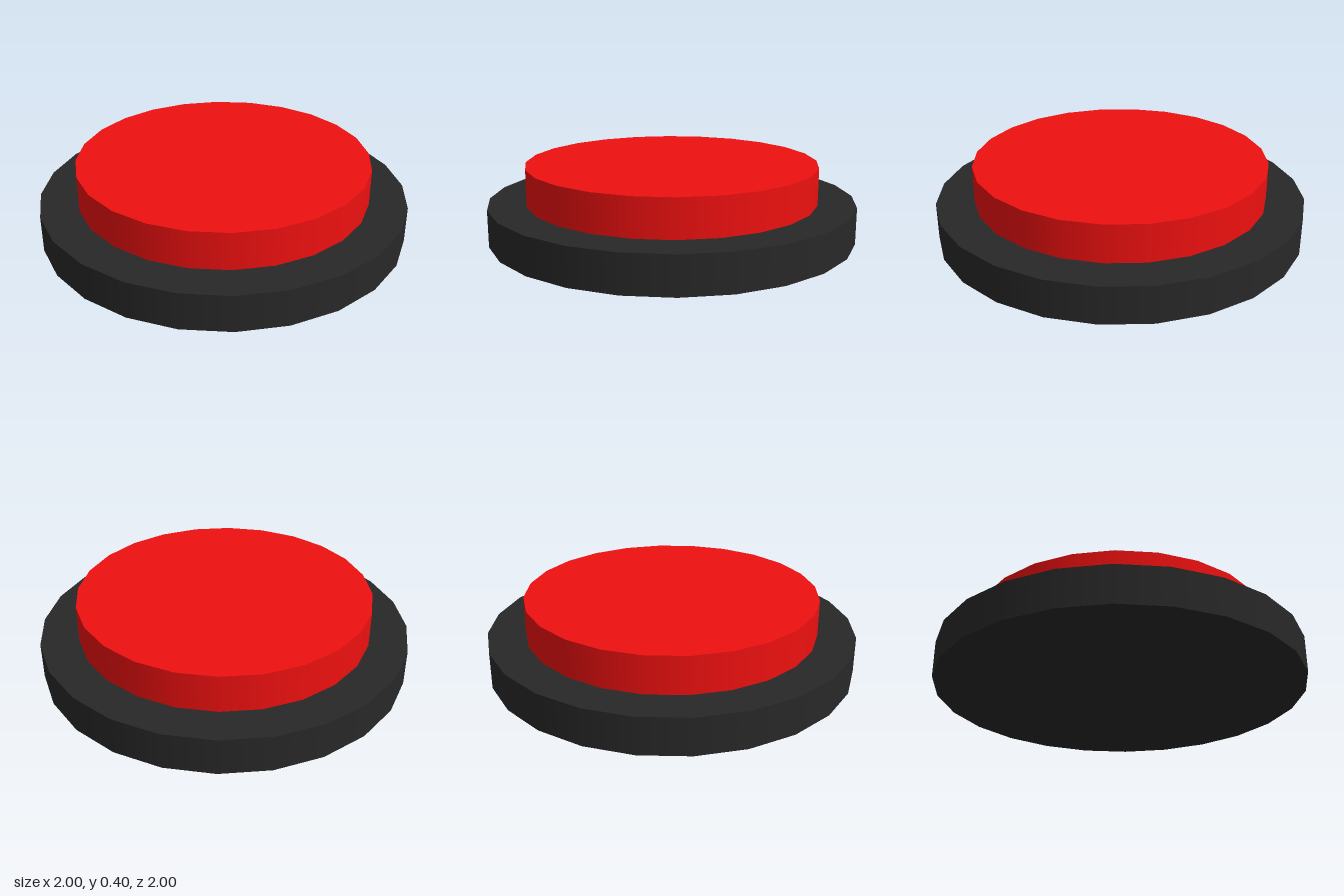
import * as THREE from 'three';

const SIDES = 24;

// Upright disc standing on the given height
function disc(name, radius, bottom, top, color) {
  const mesh = new THREE.Mesh(
    new THREE.CylinderGeometry(radius, radius, top - bottom, SIDES),
    new THREE.MeshStandardMaterial({ color })
  );
  mesh.name = name;
  mesh.position.y = (bottom + top) / 2;
  return mesh;
}

export function createModel() {
  const model = new THREE.Group();
  model.name = 'pushButton';
  // Dark base plate
  model.add(disc('base', 1, 0, 0.2, 0x282828));
  // Red button cap resting on the base
  model.add(disc('buttonCap', 0.795, 0.2, 0.402, 0xee1010));
  return model;
}
